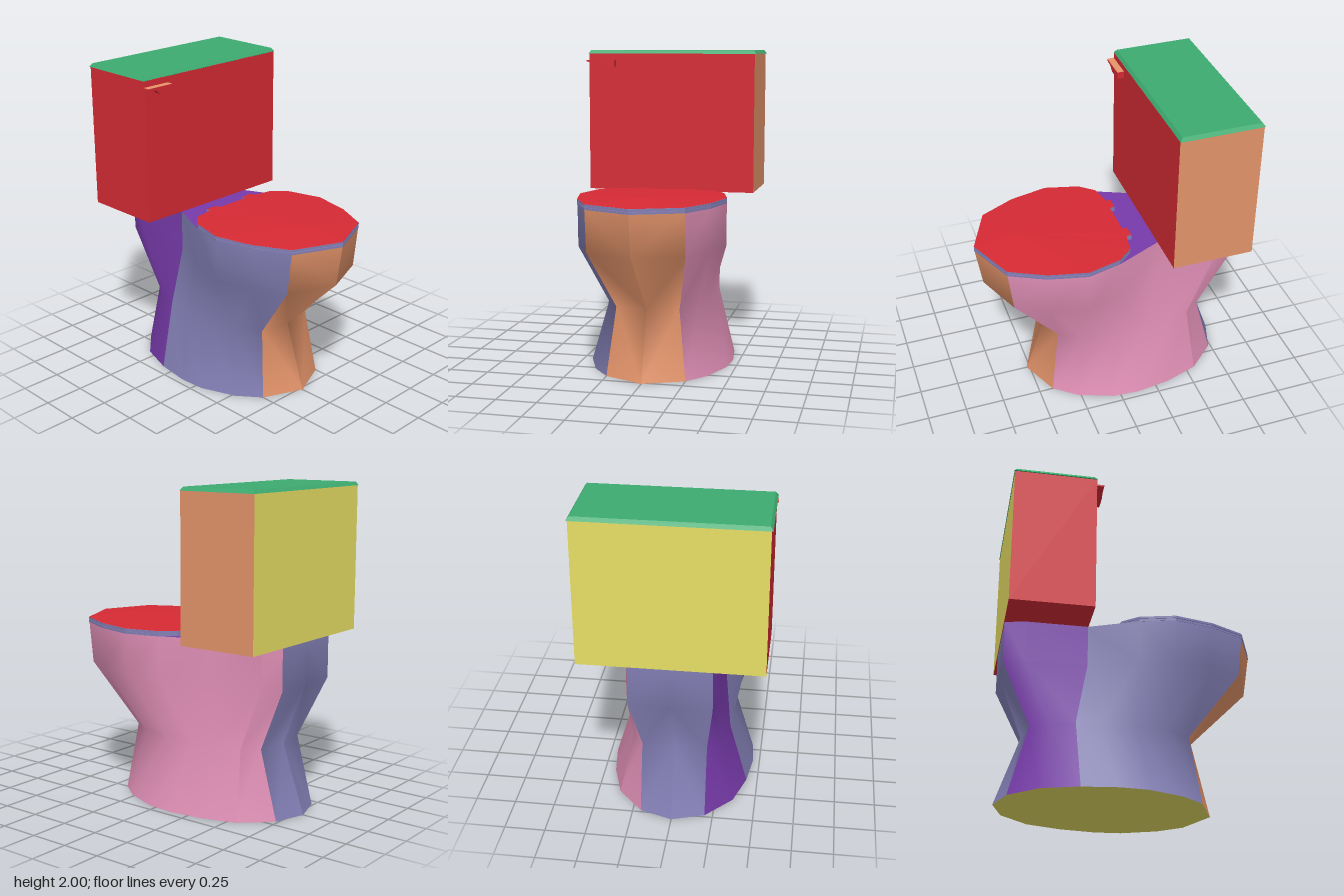
import * as THREE from 'three';

const mat = (name, color) => {
  const m = new THREE.MeshStandardMaterial({ color });
  m.name = name;
  return m;
};

export function createModel() {
  const group = new THREE.Group();
  const red = mat('red', 0xd62a34), green = mat('green', 0x3dab70), orange = mat('orange', 0xe4946a);
  const yellow = mat('olive yellow', 0xe9e066), pink = mat('pink', 0xe08fb6);
  const slate = mat('slate', 0x827eb4), purple = mat('purple', 0x783bab);

  const add = (name, geometry, material) => {
    const mesh = new THREE.Mesh(geometry, material);
    mesh.name = name;
    group.add(mesh);
    return mesh;
  };
  // Closed symmetric [x, z] loop from a half outline running front to back
  const loop = (half) => [...half, ...half.filter((p) => p[0] > 0).map(([x, z]) => [-x, z]).reverse()];
  const flatShape = (pts) => new THREE.Shape(pts.map(([x, z]) => new THREE.Vector2(x, -z)));

  // Pedestal cross-sections: height and half outline
  const rings = [
    [0, [[0, .52], [.25, .41], [.36, .27], [.445, .05], [.458, -.12], [.43, -.34], [.36, -.56], [.2, -.735], [0, -.8]]],
    [.43, [[0, .38], [.2, .35], [.29, .2], [.33, 0], [.33, -.2], [.32, -.36], [.27, -.52], [.2, -.62], [0, -.65]]],
    [.82, [[0, .77], [.3, .65], [.41, .45], [.465, .22], [.41, 0], [.28, -.29], [.28, -.67], [.25, -.8], [0, -.8]]],
    [1.08, [[0, .81], [.3, .68], [.41, .46], [.465, .22], [.41, 0], [.28, -.29], [.28, -.67], [.25, -.8], [0, -.8]]],
  ];

  // Smooth wall panel between outline points "from" and "to" on one side
  const panel = (name, from, to, side, material) => {
    const pos = [], idx = [], n = to - from + 1;
    for (const [y, half] of rings)
      for (let i = from; i <= to; i++) pos.push(half[i][0] * side, y, half[i][1]);
    for (let j = 0; j < rings.length - 1; j++)
      for (let i = 0; i < n - 1; i++) {
        const a = j * n + i, b = a + 1, c = b + n, d = a + n;
        if (side > 0) idx.push(a, b, c, a, c, d);
        else idx.push(a, c, b, a, d, c);
      }
    const g = new THREE.BufferGeometry();
    g.setAttribute('position', new THREE.Float32BufferAttribute(pos, 3));
    g.setIndex(idx);
    g.computeVertexNormals();
    add(name, g, material);
  };
  panel('leftBowlSide', 1, 6, 1, pink);
  panel('leftBowlRearCorner', 6, 7, 1, pink);
  panel('rightBowlSide', 1, 5, -1, slate);
  panel('rightBowlRearCorner', 5, 7, -1, purple);
  for (const [label, side] of [['left', 1], ['right', -1]]) {
    panel(`${label}BowlFront`, 0, 1, side, orange);
    panel(`${label}BowlBack`, 7, 8, side, slate);
  }

  // Pedestal caps
  const top = new THREE.ShapeGeometry(flatShape(loop(rings[3][1]))).rotateX(-Math.PI / 2);
  add('bowlTop', top, purple).position.y = 1.08;
  const foot = new THREE.Shape(loop(rings[0][1]).map(([x, z]) => new THREE.Vector2(x, z)));
  add('bowlUnderside', new THREE.ShapeGeometry(foot).rotateX(Math.PI / 2), yellow);

  // Seat layers with a small shadow gap; the outline includes two hinge tabs
  const seatOutline = loop([[0, .812], [.302, .682], [.412, .462], [.467, .22], [.412, .005], [.33, -.09],
    [.2, -.113], [.2, -.145], [.12, -.145], [.114, -.113]]);
  for (const [name, y, h, s] of [['seat', 1.08, 0.014, 1], ['seatGap', 1.094, 0.004, .99], ['lidRim', 1.098, 0.014, 1]]) {
    const g = new THREE.ExtrudeGeometry(flatShape(seatOutline), { depth: h, bevelEnabled: false });
    g.rotateX(-Math.PI / 2).scale(s, 1, s);
    add(name, g, slate).position.y = y;
  }

  // Shallow faceted lid rising to a single apex
  const lidPos = [];
  seatOutline.forEach(([x, z], i) => {
    const [x2, z2] = seatOutline[(i + 1) % seatOutline.length];
    lidPos.push(0, 1.14, .53, x, 1.113, z, x2, 1.113, z2);
  });
  const lid = new THREE.BufferGeometry();
  lid.setAttribute('position', new THREE.Float32BufferAttribute(lidPos, 3));
  lid.computeVertexNormals();
  add('lid', lid, red);

  // Tank, faces ordered +x, -x, top, bottom, front, back
  add('tank', new THREE.BoxGeometry(1.104, .9, .515), [orange, red, green, red, red, yellow])
    .position.set(0, 1.53, -.5455);

  // Tank lid with edges sloping in towards the top
  const cover = new THREE.BoxGeometry(1.12, .022, .52);
  const cp = cover.attributes.position;
  for (let i = 0; i < cp.count; i++)
    if (cp.getY(i) > 0) {
      cp.setX(i, cp.getX(i) - Math.sign(cp.getX(i)) * .016);
      cp.setZ(i, cp.getZ(i) - Math.sign(cp.getZ(i)) * .016);
    }
  cover.computeVertexNormals();
  add('tankLid', cover, green).position.set(0, 1.989, -.547);

  // Flush handle with its coloured top face
  const lever = new THREE.Shape([[-.56, 1.937], [-.56, 1.926], [-.5, 1.92], [-.47, 1.894], [-.37, 1.894], [-.37, 1.937]]
    .map(([x, y]) => new THREE.Vector2(x, y)));
  add('flushHandle', new THREE.ExtrudeGeometry(lever, { depth: .045, bevelEnabled: false }), red).position.z = -.29;
  add('flushHandleTop', new THREE.PlaneGeometry(.19, .045).rotateX(-Math.PI / 2), orange)
    .position.set(-.465, 1.939, -.2675);

  return group;
}
